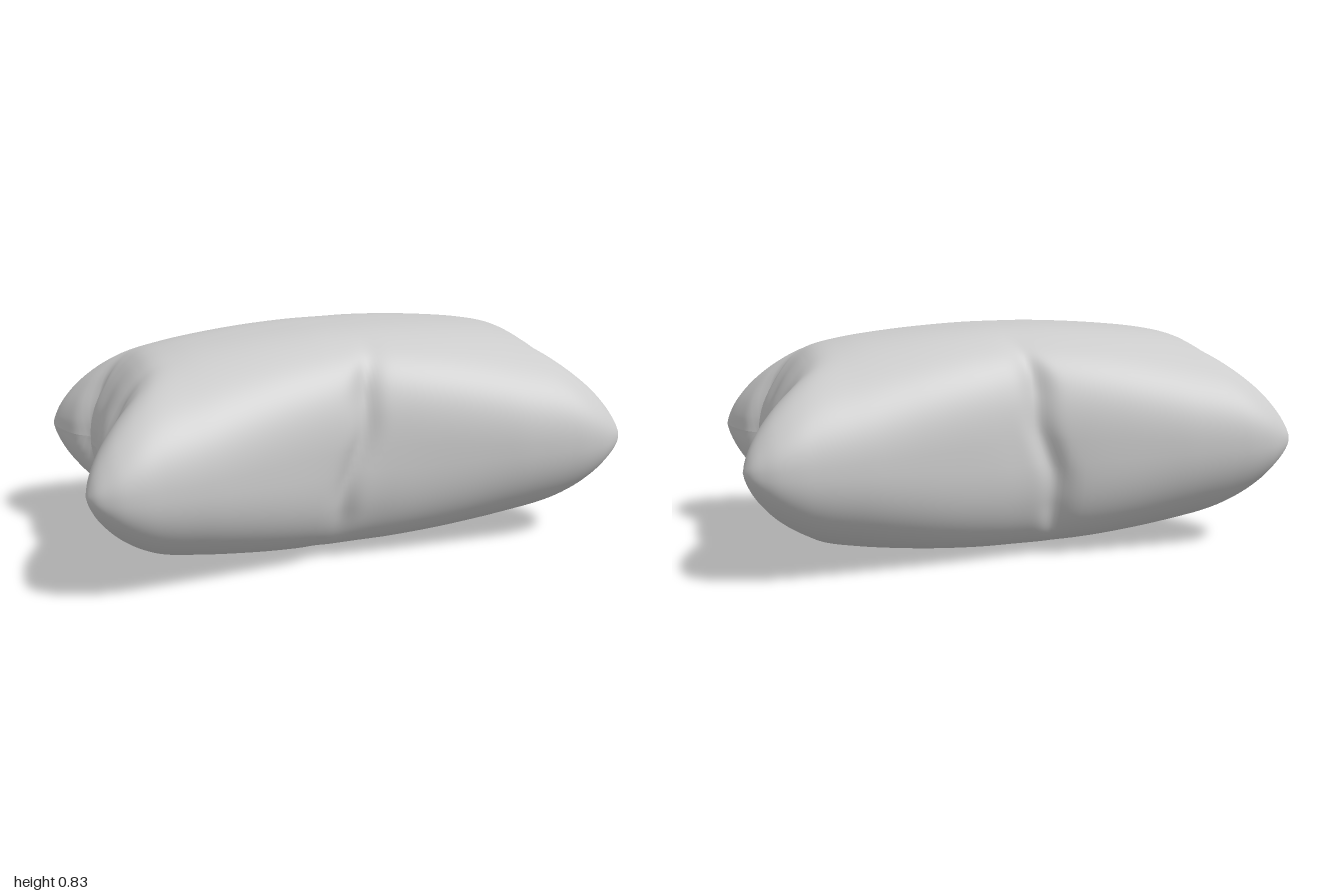
import * as THREE from 'three';

const MID = 0.416; // height of the pillow's middle plane
const smooth = (v, a, b) => THREE.MathUtils.smoothstep(v, a, b);
const bump = (v, centre, width) => Math.exp(-(((v - centre) / width) ** 2));
const power = (v, p) => Math.sign(v) * Math.abs(v) ** p;

// Half of the length profile: x, half height, half depth
const half = [
  [0.14, 0.414, 0.424], [0.4, 0.397, 0.462], [0.6, 0.372, 0.495], [0.7, 0.346, 0.511],
  [0.75, 0.312, 0.516], [0.8, 0.257, 0.511], [0.84, 0.198, 0.495], [0.873, 0.135, 0.474],
  [0.893, 0.068, 0.446], [0.9, 0, 0.42],
];
const profile = new THREE.CatmullRomCurve3([
  ...half.map(([x, h, w]) => new THREE.Vector3(-x, h, w)).reverse(),
  new THREE.Vector3(0, 0.416, 0.414),
  ...half.map(([x, h, w]) => new THREE.Vector3(x, h, w)),
]);

// Fabric folds on each end: z, width, depth, lean
const folds = {
  1: [[0.2, 0.03, 0.04, 0.05], [-0.17, 0.05, 0.015, -0.1], [-0.27, 0.04, 0.02, 0.12], [0.03, 0.05, 0.01, 0.1]],
  '-1': [[-0.2, 0.035, 0.04, -0.08], [0.12, 0.035, 0.025, 0.08], [0.24, 0.04, 0.015, -0.1], [-0.06, 0.05, 0.01, 0.1]],
};

function pillowPoint(s, a) {
  const p = profile.getPoint(s);
  const end = Math.abs(p.x);
  const side = p.x < 0 ? -1 : 1;
  // Boxier section in the middle, elliptical towards the ends
  const n = 2 / (2.7 - 0.5 * smooth(end, 0.1, 0.75));
  const y = p.y * power(Math.sin(a), n);
  let z = p.z * power(Math.cos(a), n);
  let x = p.x;

  // Corners pull outward and the ends crumple, fading towards top and bottom
  const t = smooth(end, 0.55, 0.86);
  const fade = 1 - 0.8 * smooth(Math.abs(y), 0.12, 0.32);
  let out = 0.1 * smooth(Math.abs(z), 0.12, 0.43);
  for (const [z0, w, d, lean] of folds[side]) out -= fade * d * bump(z, z0 + lean * y, w);
  x += side * t * out;

  // Pinched crease across the front and back
  const front = z > 0;
  const crease = (front ? -0.045 : -0.06) + (front ? 0.25 : 0.2) * y + 0.012 * Math.sin(y * 18);
  const reach = smooth(Math.abs(z), 0.12, 0.36) * (1 - 0.6 * smooth(Math.abs(y), 0.2, 0.38));
  const dent = 0.03 * bump(x, crease, 0.045) + 0.012 * bump(x, crease + 0.03, 0.13);
  z -= Math.sign(z) * reach * dent;

  // The middle sits slightly further back than the corners
  z -= 0.01 * (1 - smooth(end, 0.2, 0.85));
  return [x, MID + y, z];
}

export function createModel() {
  const group = new THREE.Group();
  group.name = 'pillow';
  const fabric = new THREE.MeshStandardMaterial({ color: 0xcccccc });
  fabric.name = 'light grey fabric';

  // Loops of cross-sections along the length
  const rows = 180, cols = 144;
  const positions = [], index = [];
  for (let i = 0; i <= rows; i++) {
    for (let j = 0; j < cols; j++) positions.push(...pillowPoint(i / rows, (j / cols) * Math.PI * 2));
  }
  for (let i = 0; i < rows; i++) {
    for (let j = 0; j < cols; j++) {
      const k = (j + 1) % cols;
      const a = i * cols + j, b = a + cols, c = i * cols + k, d = c + cols;
      index.push(a, b, c, b, d, c);
    }
  }
  const geometry = new THREE.BufferGeometry();
  geometry.setAttribute('position', new THREE.Float32BufferAttribute(positions, 3));
  geometry.setIndex(index);
  geometry.computeVertexNormals();

  const cushion = new THREE.Mesh(geometry, fabric);
  cushion.name = 'cushion';
  group.add(cushion);
  return group;
}
